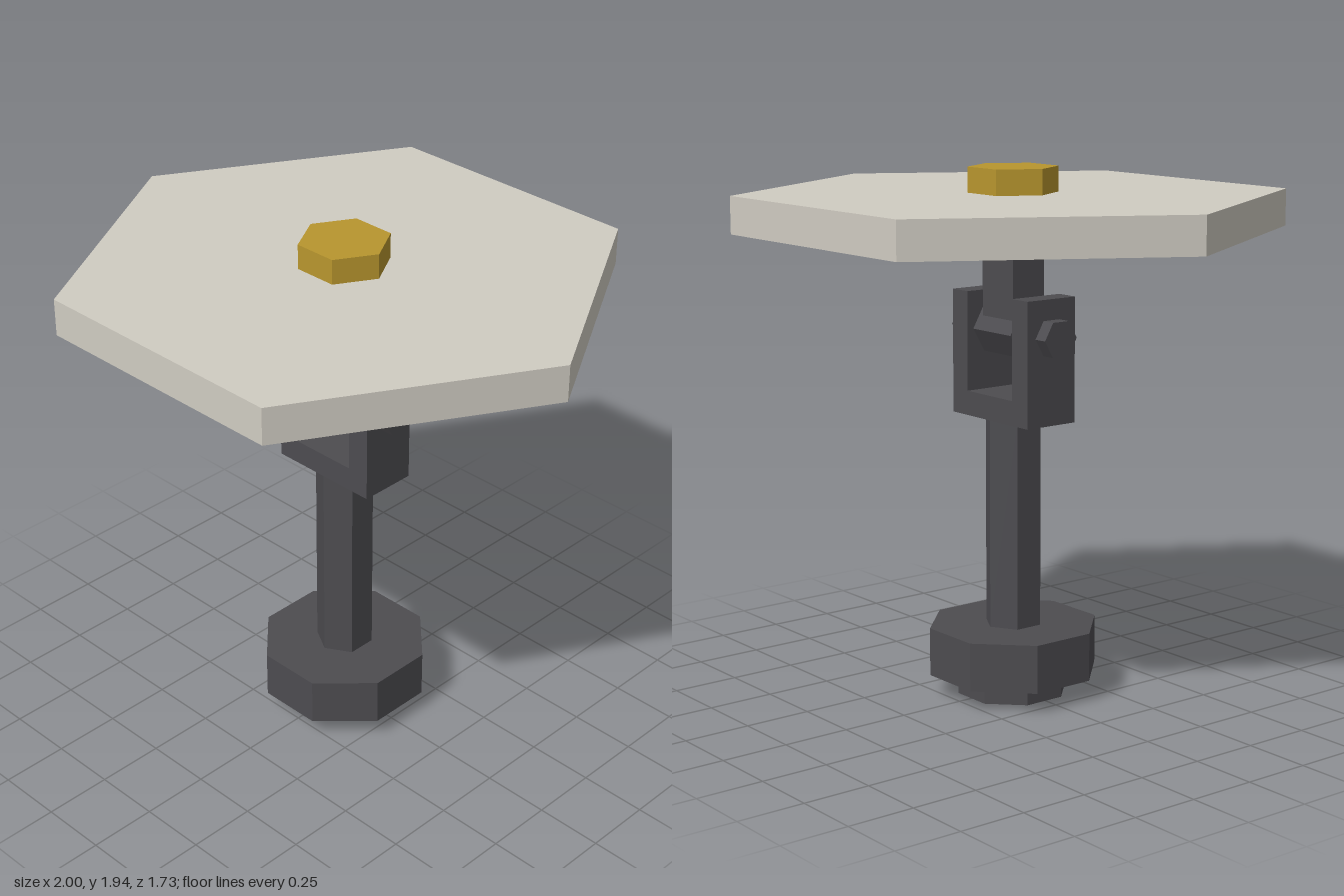
import * as THREE from 'three';

function material(name, color) {
  const m = new THREE.MeshStandardMaterial({ color, flatShading: true });
  m.name = name;
  return m;
}

export function createModel() {
  const stone = material('pale stone', 0xd0ccc2);
  const brass = material('brass', 0xb8962e);
  const iron = material('dark iron', 0x4d4c50);
  const model = new THREE.Group();
  model.name = 'hexTopStand';

  const add = (name, geometry, mat, x, y, z = 0) => {
    const mesh = new THREE.Mesh(geometry, mat);
    mesh.name = name;
    mesh.position.set(x, y, z);
    model.add(mesh);
    return mesh;
  };

  // Upright prism between two heights; turn rotates its first corner from +z
  const prism = (name, radius, sides, y0, y1, turn, mat, z = 0) =>
    add(name, new THREE.CylinderGeometry(radius, radius, y1 - y0, sides, 1, false, turn),
      mat, 0, (y0 + y1) / 2, z);

  // Hexagonal bar lying along x, corners towards front and back
  const crossBar = (name, radius, length, y) => {
    const geometry = new THREE.CylinderGeometry(radius, radius, length, 6);
    geometry.rotateZ(Math.PI / 2);
    add(name, geometry, iron, 0, y);
  };

  // Foot and base
  prism('foot', 0.206, 8, 0, 0.078, Math.PI / 8, iron, -0.005);
  prism('base', 0.317, 8, 0.078, 0.257, Math.PI / 8, iron);

  // Stem
  prism('stem', 0.107, 6, 0.257, 1.03, 0, iron);

  // U-shaped yoke
  const u = new THREE.Shape([
    [-0.217, 1.03], [0.217, 1.03], [0.217, 1.485], [0.13, 1.485],
    [0.13, 1.12], [-0.13, 1.12], [-0.13, 1.485], [-0.217, 1.485],
  ].map(([x, y]) => new THREE.Vector2(x, y)));
  const yoke = new THREE.ExtrudeGeometry(u, { depth: 0.216, bevelEnabled: false });
  yoke.translate(0, 0, -0.108);
  add('yoke', yoke, iron, 0, 0);

  // Hinge pin and knuckle
  crossBar('hingePin', 0.072, 0.54, 1.348);
  crossBar('knuckle', 0.098, 0.216, 1.35);

  // Neck under the top
  add('neck', new THREE.BoxGeometry(0.176, 0.32, 0.14), iron, 0, 1.55);

  // Hexagonal top and its brass cap
  prism('top', 1, 6, 1.71, 1.845, Math.PI / 2, stone);
  prism('cap', 0.164, 6, 1.845, 1.937, Math.PI / 2, brass);

  return model;
}
